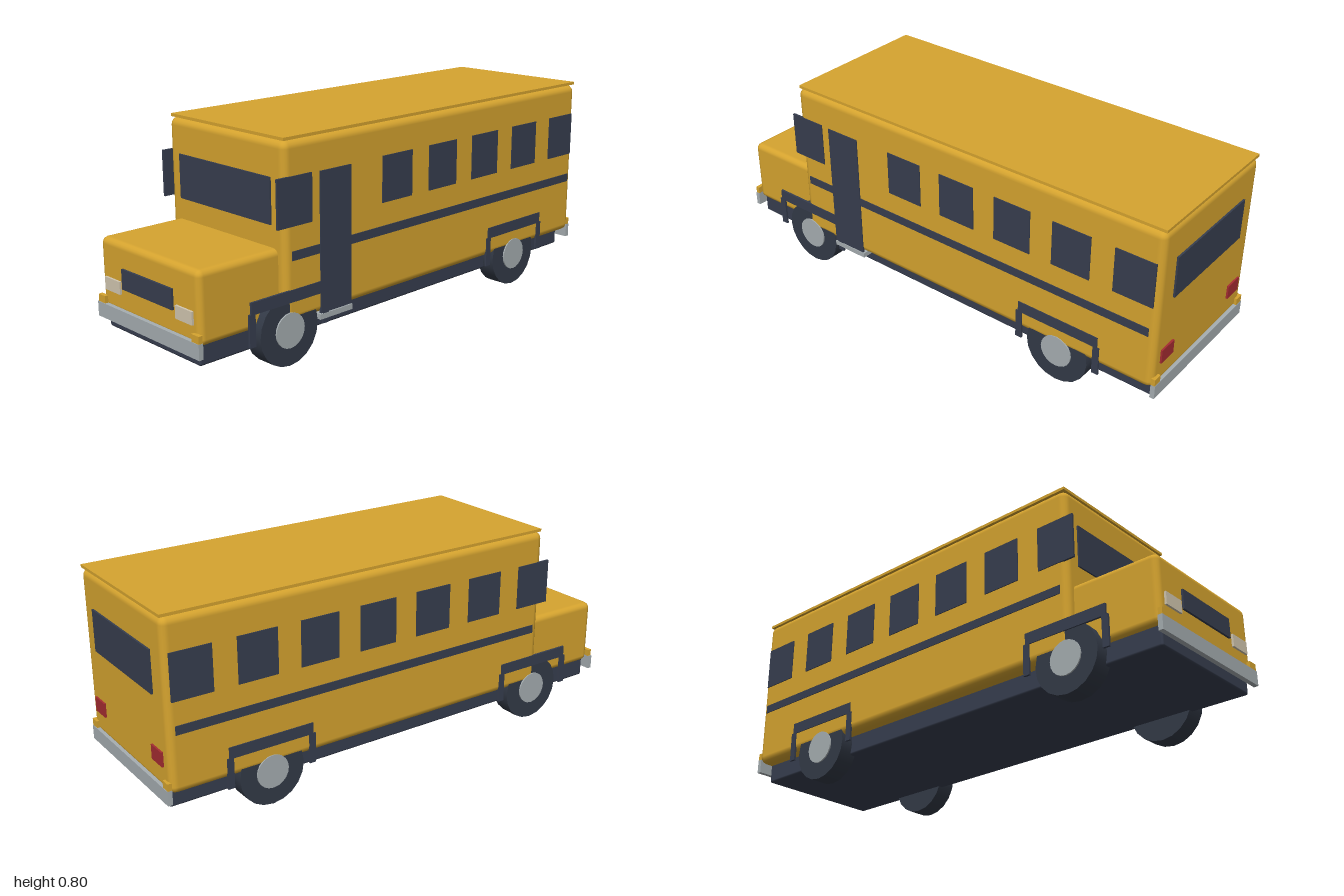
import * as THREE from 'three';
import { RoundedBoxGeometry } from 'three/addons/geometries/RoundedBoxGeometry.js';

const mat = (name, color) => {
  const m = new THREE.MeshStandardMaterial({ color });
  m.name = name;
  return m;
};

export function createModel() {
  const bus = new THREE.Group();
  bus.name = 'schoolBus';
  const yellow = mat('busYellow', 0xd6a42f);
  const dark = mat('darkTrim', 0x373e4f);
  const rubber = mat('tyreRubber', 0x333a47);
  const metal = mat('greyMetal', 0xa6aeb1);
  const lamp = mat('headlightCream', 0xd2c7b0);
  const red = mat('tailLightRed', 0xa52c31);

  const add = (name, geometry, material) => {
    const mesh = new THREE.Mesh(geometry, material);
    mesh.name = name;
    bus.add(mesh);
    return mesh;
  };
  // Boxes are given by their limits on each axis; radius rounds the edges.
  const box = (name, material, [x0, x1], [y0, y1], [z0, z1], radius = 0) => {
    const size = [x1 - x0, y1 - y0, z1 - z0];
    const g = radius ? new RoundedBoxGeometry(...size, 2, radius) : new THREE.BoxGeometry(...size);
    g.translate((x0 + x1) / 2, (y0 + y1) / 2, (z0 + z1) / 2);
    return add(name, g, material);
  };
  // Limits along x on one side of the bus
  const across = (side, a, b) => (side > 0 ? [a, b] : [-b, -a]);

  // Main shells
  box('cabin', yellow, [-0.315, 0.315], [0.155, 0.788], [-0.988, 0.65], 0.028);
  box('hood', yellow, [-0.28, 0.28], [0.155, 0.415], [0.6, 0.985], 0.024);
  box('roofPanel', yellow, [-0.308, 0.308], [0.789, 0.8], [-0.988, 0.643]);
  box('chassis', dark, [-0.262, 0.262], [0.083, 0.17], [-0.972, 0.975], 0.008);

  // Front and rear glass, grille
  box('windshield', dark, [-0.25, 0.25], [0.495, 0.66], [0.648, 0.656]);
  box('rearWindow', dark, [-0.226, 0.226], [0.498, 0.657], [-0.995, -0.986]);
  box('grille', dark, [-0.145, 0.143], [0.252, 0.326], [0.984, 0.993]);

  // Bumpers
  box('frontBumper', metal, [-0.293, 0.291], [0.12, 0.175], [0.982, 1]);
  box('rearBumper', metal, [-0.308, 0.308], [0.12, 0.175], [-1, -0.982]);

  for (const side of [1, -1]) {
    const label = side > 0 ? 'left' : 'right';
    const skin = across(side, 0.31, 0.3185);

    // Lamps and corner blocks
    box(label + 'Headlight', lamp, across(side, 0.16, 0.25), [0.228, 0.275], [0.984, 0.993]);
    box(label + 'TailLight', red, across(side, 0.192, 0.27), [0.248, 0.303], [-0.995, -0.986]);
    box(label + 'FrontBumperBlock', yellow, across(side, 0.25, 0.289), [0.175, 0.202], [0.982, 0.998]);
    box(label + 'RearBumperBlock', yellow, across(side, 0.272, 0.308), [0.175, 0.202], [-0.998, -0.982]);

    // Side windows, leaving room for the door on the left
    for (let i = 0; i < 7; i++) {
      if (side > 0 && i === 1) continue;
      const z = 0.604 - i * 0.249;
      box(label + 'Window' + (i + 1), dark, skin, [0.495, 0.668], [z - 0.078, z + 0.078]);
    }
    box(label + 'Stripe', dark, across(side, 0.31, 0.318), [0.375, 0.408], [-0.96, 0.618]);

    for (const [end, z] of [['Front', 0.632], ['Rear', -0.598]]) {
      // Wheel: tyre with a raised hub disc
      const cyl = (name, r, x0, x1, sides, material) => {
        const g = new THREE.CylinderGeometry(r, r, x1 - x0, sides);
        g.rotateZ(Math.PI / 2);
        add(label + end + name, g, material).position.set(side * (x0 + x1) / 2, 0.13, z);
      };
      cyl('Tyre', 0.13, 0.237, 0.313, 20, rubber);
      cyl('Hub', 0.064, 0.25, 0.3185, 20, metal);

      // Square wheel arch: top bar and two legs
      box(label + end + 'ArchBar', dark, skin, [0.229, 0.273], [z - 0.17, z + 0.17]);
      for (const s of [-1, 1]) {
        const c = z + s * 0.166;
        box(label + end + 'ArchLeg', dark, skin, [0.115, 0.232], [c - 0.013, c + 0.013]);
      }
    }
  }

  // Passenger door and step on the left side
  box('door', dark, [0.31, 0.319], [0.155, 0.665], [0.342, 0.49]);
  box('doorStep', metal, [0.25, 0.319], [0.132, 0.152], [0.338, 0.494]);

  return bus;
}
